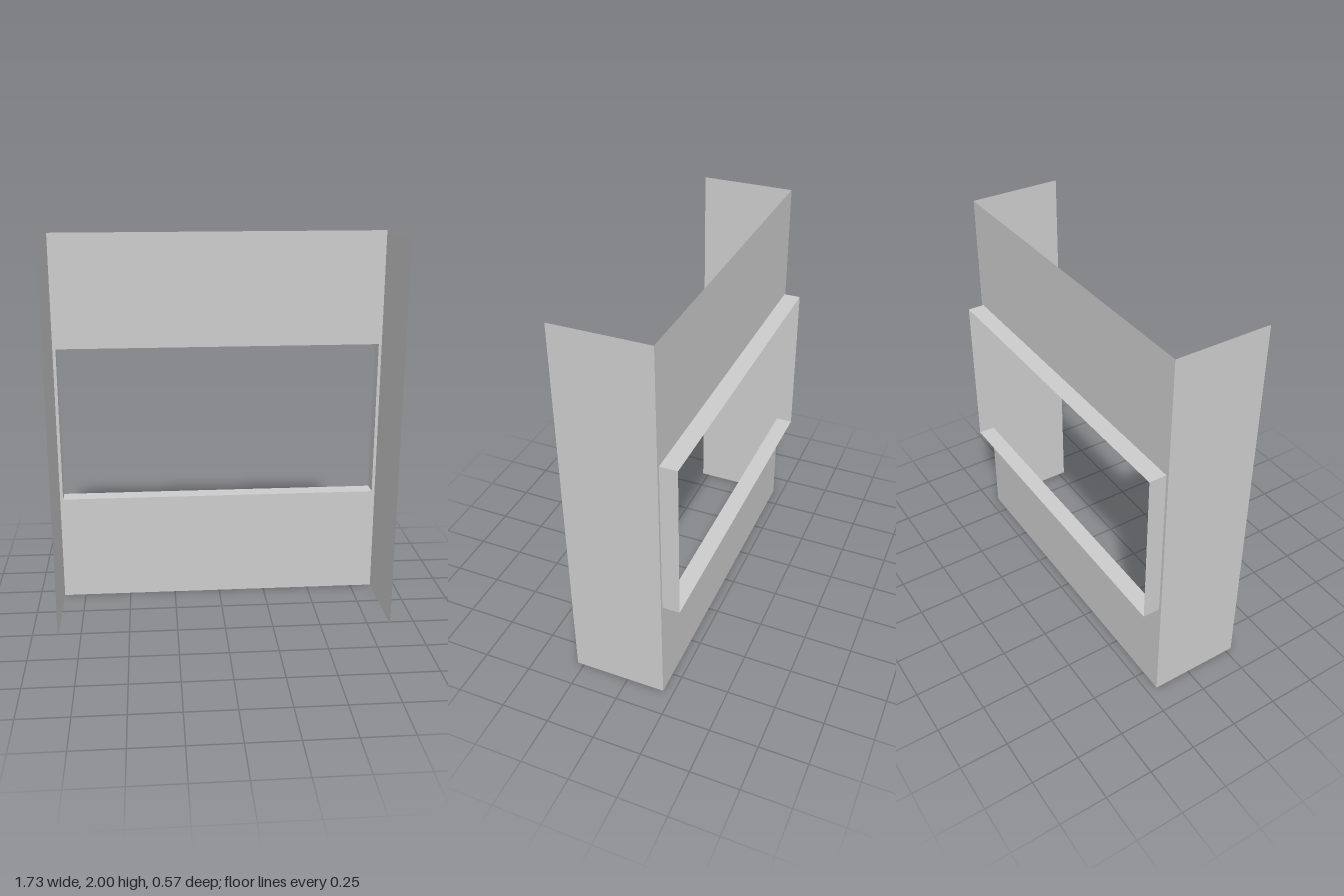
import * as THREE from 'three';

const W = 0.866, H = 2;                        // half width and height of the panel
const FRONT = 0.285, PANEL = -0.197, BACK = -0.285;
const HOLE = { x: 0.85, y0: 0.572, y1: 1.405 };

export function createModel() {
  const group = new THREE.Group();
  const material = new THREE.MeshStandardMaterial({
    color: 0xcccccc, side: THREE.DoubleSide, flatShading: true,
  });

  function add(name, geometry, x, y, z) {
    const mesh = new THREE.Mesh(geometry, material);
    mesh.name = name;
    mesh.position.set(x, y, z);
    group.add(mesh);
    return mesh;
  }

  // Sheet panel with a wide rectangular opening
  const panel = new THREE.Shape([
    new THREE.Vector2(-W, 0), new THREE.Vector2(W, 0),
    new THREE.Vector2(W, H), new THREE.Vector2(-W, H),
  ]);
  panel.holes.push(new THREE.Path([
    new THREE.Vector2(-HOLE.x, HOLE.y0), new THREE.Vector2(-HOLE.x, HOLE.y1),
    new THREE.Vector2(HOLE.x, HOLE.y1), new THREE.Vector2(HOLE.x, HOLE.y0),
  ]));
  add('panel', new THREE.ShapeGeometry(panel), 0, 0, PANEL);

  const collarDepth = PANEL - BACK, collarZ = (PANEL + BACK) / 2;
  const holeHeight = HOLE.y1 - HOLE.y0, holeY = (HOLE.y0 + HOLE.y1) / 2;

  for (const [side, s] of [['left', 1], ['right', -1]]) {
    // Full-height side flange folded forward
    const flange = new THREE.PlaneGeometry(FRONT - PANEL, H);
    add(side + 'Flange', flange, s * W, H / 2, (FRONT + PANEL) / 2).rotation.y = s * Math.PI / 2;
    // Upright edge of the collar behind the opening
    const lip = new THREE.PlaneGeometry(collarDepth, holeHeight);
    add(side + 'Collar', lip, s * HOLE.x, holeY, collarZ).rotation.y = s * Math.PI / 2;
  }

  // Level edges of the collar
  for (const [name, y, s] of [['topCollar', HOLE.y1, -1], ['bottomCollar', HOLE.y0, 1]]) {
    const lip = new THREE.PlaneGeometry(2 * HOLE.x, collarDepth);
    add(name, lip, 0, y, collarZ).rotation.x = s * Math.PI / 2;
  }

  return group;
}
